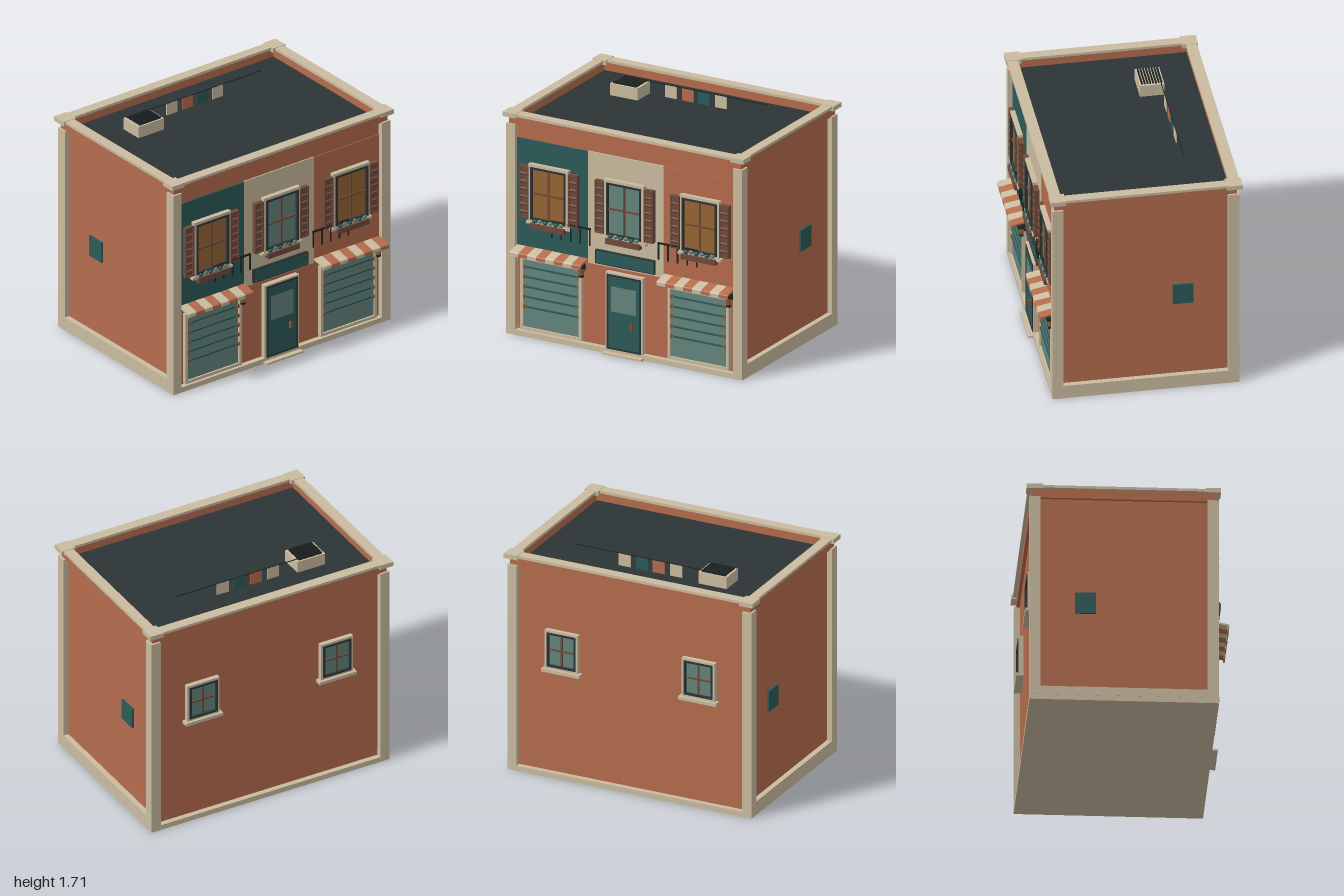
import * as THREE from 'three';

const M = {};
for (const [name, color] of Object.entries({
  terracotta: 0xb56c4d, cream: 0xcbbca0, teal: 0x2b5b58, glass: 0x64847c, amber: 0x966533,
  brown: 0x704a3b, charcoal: 0x2c3435, black: 0x1c2222, rust: 0x8f5430,
})) {
  M[name] = new THREE.MeshStandardMaterial({ color });
  M[name].name = name;
}

const ZC = -0.03;     // centre of the building's depth
const WALL_X = 0.94;  // half width of the wall block
const FRONT = 0.61;   // front wall plane
const BACK = -0.67;   // back wall plane

// Box from its limits
function box(parent, name, mat, x0, x1, y0, y1, z0, z1) {
  const mesh = new THREE.Mesh(new THREE.BoxGeometry(x1 - x0, y1 - y0, z1 - z0), M[mat]);
  mesh.position.set((x0 + x1) / 2, (y0 + y1) / 2, (z0 + z1) / 2);
  mesh.name = name;
  parent.add(mesh);
  return mesh;
}

function group(parent, name, x = 0, y = 0, z = 0) {
  const g = new THREE.Group();
  g.name = name;
  g.position.set(x, y, z);
  parent.add(g);
  return g;
}

function rect(path, x, y) {
  path.moveTo(-x, -y);
  path.lineTo(x, -y);
  path.lineTo(x, y);
  path.lineTo(-x, y);
  path.closePath();
  return path;
}

// Rectangular frame, extruded along z from 0 to depth
function frame(parent, name, mat, w, h, bar, depth) {
  const shape = rect(new THREE.Shape(), w / 2, h / 2);
  shape.holes.push(rect(new THREE.Path(), w / 2 - bar, h / 2 - bar));
  const mesh = new THREE.Mesh(new THREE.ExtrudeGeometry(shape, { depth, bevelEnabled: false }), M[mat]);
  mesh.name = name;
  parent.add(mesh);
  return mesh;
}

// Horizontal ring around the roof
function roofRing(parent, name, mat, hx, hz, ix, iz, y0, y1) {
  const shape = rect(new THREE.Shape(), hx, hz);
  shape.holes.push(rect(new THREE.Path(), ix, iz));
  const mesh = new THREE.Mesh(new THREE.ExtrudeGeometry(shape, { depth: y1 - y0, bevelEnabled: false }), M[mat]);
  mesh.rotation.x = -Math.PI / 2;
  mesh.position.set(0, y0, ZC);
  mesh.name = name;
  parent.add(mesh);
}

// Four-pane window centred on its own origin, facing +z
function paneWindow(parent, name, w, h, glassMat) {
  const g = group(parent, name);
  frame(g, 'outerFrame', 'cream', w, h, 0.02, 0.035);
  frame(g, 'innerFrame', 'charcoal', w - 0.035, h - 0.035, 0.014, 0.042);
  box(g, 'glass', glassMat, -w / 2 + 0.02, w / 2 - 0.02, -h / 2 + 0.02, h / 2 - 0.02, 0, 0.022);
  box(g, 'mullion', 'brown', -0.006, 0.006, -h / 2 + 0.03, h / 2 - 0.03, 0.02, 0.032);
  box(g, 'crossbar', 'brown', -w / 2 + 0.03, w / 2 - 0.03, -0.006, 0.006, 0.02, 0.032);
  return g;
}

function frontWindow(parent, x, glassMat) {
  const g = group(parent, 'frontWindow', x, 1.108, FRONT + 0.008);
  paneWindow(g, 'window', 0.325, 0.435, glassMat);
  box(g, 'lintel', 'cream', -0.165, 0.165, 0.205, 0.222, 0, 0.037);
  box(g, 'sill', 'cream', -0.18, 0.18, -0.235, -0.215, 0, 0.04);
  // Louvred shutters
  for (const s of [-1, 1]) {
    const sh = group(g, 'shutter', s * 0.204, 0, 0);
    box(sh, 'shutterBoard', 'brown', -0.038, 0.038, -0.2, 0.2, 0, 0.028);
    frame(sh, 'shutterFrame', 'brown', 0.076, 0.4, 0.01, 0.037);
    for (let i = 0; i < 6; i++) {
      const slat = box(sh, 'slat', 'brown', -0.03, 0.03, -0.006, 0.006, 0.026, 0.04);
      slat.position.y = 0.14 - i * 0.058;
      slat.rotation.x = 0.6;
    }
  }
  // Planter with small bushes
  box(g, 'planter', 'brown', -0.142, 0.142, -0.263, -0.222, 0.02, 0.058);
  for (let i = 0; i < 6; i++) {
    const bush = new THREE.Mesh(new THREE.IcosahedronGeometry(0.018, 1), M[i % 2 ? 'glass' : 'teal']);
    bush.position.set(-0.11 + i * 0.044, -0.207 + (i % 2) * 0.005, 0.04);
    bush.scale.set(1.15, 0.85, 0.8);
    bush.name = 'bush';
    g.add(bush);
  }
}

function awning(parent, x0) {
  const g = group(parent, 'awning');
  const w = 0.59 / 8;
  const profile = new THREE.Shape([[0.61, 0.685], [0.722, 0.662], [0.73, 0.655], [0.73, 0.63],
    [0.72, 0.63], [0.72, 0.65], [0.61, 0.672]].map(([z, y]) => new THREE.Vector2(-z, y)));
  for (let i = 0; i < 8; i++) {
    const geo = new THREE.ExtrudeGeometry(profile, { depth: w, bevelEnabled: false });
    geo.rotateY(Math.PI / 2); // profile x becomes -z, depth becomes +x
    const stripe = new THREE.Mesh(geo, M[i % 2 ? 'terracotta' : 'cream']);
    stripe.position.x = x0 + i * w;
    stripe.name = 'awningStripe';
    g.add(stripe);
  }
}

function rollerDoor(parent, x) {
  const g = group(parent, 'rollerDoor', x, 0.33, FRONT);
  frame(g, 'rollerFrame', 'cream', 0.507, 0.56, 0.022, 0.034);
  box(g, 'rollerPanel', 'glass', -0.235, 0.235, -0.26, 0.26, 0, 0.02);
  for (let i = 0; i < 5; i++) {
    const y = 0.2 - i * 0.076;
    box(g, 'rib', 'teal', -0.23, 0.23, y - 0.006, y + 0.006, 0.015, 0.03);
    for (const s of [-1, 1]) {
      box(g, 'bolt', 'rust', s * 0.225 - 0.006, s * 0.225 + 0.006, y - 0.014, y + 0.014, 0.018, 0.034);
      box(g, 'bolt', 'rust', s * 0.21 - 0.01, s * 0.21 + 0.01, y - 0.005, y + 0.005, 0.018, 0.034);
    }
  }
}

function lamp(parent, x) {
  const g = group(parent, 'wallLamp', x, 0.585, 0.65);
  box(g, 'lampBracket', 'black', -0.012, 0.012, 0.0, 0.05, -0.04, -0.015);
  box(g, 'lampCap', 'black', -0.025, 0.025, 0.028, 0.04, -0.025, 0.026);
  const body = new THREE.Mesh(new THREE.CylinderGeometry(0.026, 0.018, 0.055, 4), M.amber);
  body.rotation.y = Math.PI / 4;
  body.name = 'lampGlass';
  g.add(body);
  box(g, 'lampBase', 'black', -0.015, 0.015, -0.042, -0.027, -0.015, 0.015);
}

function railing(parent, s) {
  const g = group(parent, 'railing');
  const span = (a, b) => (s > 0 ? [a, b] : [-b, -a]);
  box(g, 'handrail', 'black', ...span(0.28, 0.61), 0.915, 0.927, 0.64, 0.652);
  for (let i = 0; i < 5; i++) {
    const x = 0.286 + i * 0.079;
    box(g, 'baluster', 'black', ...span(x - 0.005, x + 0.005), 0.795, 0.92, 0.641, 0.651);
  }
}

export function createModel() {
  const model = new THREE.Group();
  model.name = 'townhouse';

  // Base, walls, corner posts
  box(model, 'base', 'cream', -0.98, 0.98, 0, 0.04, -0.71, 0.65);
  box(model, 'walls', 'terracotta', -WALL_X, WALL_X, 0.04, 1.6, BACK, FRONT);
  for (const s of [-1, 1]) {
    const side = (name, mat, a, b, ...rest) => box(model, name, mat, ...(s > 0 ? [a, b] : [-b, -a]), ...rest);
    side('sidePlinth', 'cream', 0.9, 0.981, 0.04, 0.105, -0.67, 0.61);
    side('frontPost', 'cream', 0.905, 0.98, 0.04, 1.605, 0.57, 0.65);
    side('backPost', 'cream', 0.905, 0.98, 0.04, 1.605, -0.71, -0.63);
    side('cornerCap', 'cream', 0.89, 1.0, 1.658, 1.693, 0.555, 0.665);
    side('cornerCap', 'cream', 0.89, 1.0, 1.658, 1.693, -0.73, -0.615);
    side('utilityHatch', 'teal', 0.93, 0.955, 0.7, 0.862, -0.38, -0.23);
  }

  // Parapet and roof
  roofRing(model, 'parapet', 'terracotta', 0.965, 0.665, 0.92, 0.62, 1.6, 1.672);
  roofRing(model, 'coping', 'cream', 0.986, 0.69, 0.91, 0.61, 1.67, 1.69);
  box(model, 'roof', 'charcoal', -0.925, 0.925, 1.59, 1.606, -0.655, 0.595);

  // Painted upper facade
  box(model, 'tealFacade', 'teal', -0.905, -0.318, 0.67, 1.5, FRONT, FRONT + 0.009);
  box(model, 'creamFacade', 'cream', -0.318, 0.312, 0.65, 1.505, FRONT, FRONT + 0.009);
  box(model, 'terracottaFacade', 'terracotta', 0.312, 0.905, 0.67, 1.5, FRONT, FRONT + 0.006);

  // Front windows, ground floor shutters, awnings, lamps, railings
  [[-0.628, 'amber'], [0, 'glass'], [0.628, 'amber']].forEach(([x, mat]) => frontWindow(model, x, mat));
  for (const s of [-1, 1]) {
    rollerDoor(model, s * 0.611);
    railing(model, s);
  }
  awning(model, -0.905);
  awning(model, 0.315);
  lamp(model, -0.355);
  lamp(model, 0.87);

  // Blank sign board
  const sign = group(model, 'signBoard', 0, 0.72, FRONT);
  box(sign, 'signPanel', 'teal', -0.24, 0.24, -0.046, 0.046, 0, 0.03);
  frame(sign, 'signEdge', 'charcoal', 0.49, 0.104, 0.006, 0.032);
  for (const sx of [-1, 1]) for (const sy of [-1, 1]) {
    box(sign, 'signBolt', 'rust', sx * 0.225 - 0.004, sx * 0.225 + 0.004, sy * 0.036 - 0.004, sy * 0.036 + 0.004, 0.028, 0.034);
  }

  // Entrance door
  const door = group(model, 'entrance', 0, 0.325, FRONT);
  frame(door, 'doorFrame', 'cream', 0.31, 0.595, 0.018, 0.04);
  frame(door, 'doorJamb', 'charcoal', 0.28, 0.57, 0.014, 0.045);
  box(door, 'doorLeaf', 'teal', -0.128, 0.128, -0.285, 0.275, 0, 0.042);
  box(door, 'doorGlass', 'glass', -0.102, 0.102, 0.005, 0.195, 0.04, 0.046);
  box(door, 'doorHandle', 'rust', 0.064, 0.076, -0.105, -0.055, 0.04, 0.065);
  box(model, 'threshold', 'cream', -0.165, 0.165, 0.004, 0.018, 0.6, 0.69);

  // Back windows
  for (const x of [-0.55, 0.55]) {
    const g = group(model, 'backWindow', x, 1.0, BACK);
    g.rotation.y = Math.PI;
    paneWindow(g, 'window', 0.265, 0.3, 'glass');
    box(g, 'sill', 'cream', -0.152, 0.152, -0.175, -0.15, 0, 0.055);
  }

  // Roof vent
  box(model, 'roofVent', 'cream', -0.625, -0.397, 1.6, 1.697, -0.4, -0.222);
  for (let i = 0; i < 8; i++) {
    const z = -0.382 + i * 0.0203;
    box(model, 'ventSlat', 'black', -0.607, -0.415, 1.695, 1.71, z - 0.0055, z + 0.0055);
  }

  // Washing line
  box(model, 'washingLine', 'black', -0.6, 0.595, 1.704, 1.709, -0.378, -0.373);
  [[-0.208, 'cream'], [-0.068, 'terracotta'], [0.066, 'teal'], [0.205, 'cream']].forEach(([x, mat]) =>
    box(model, 'laundry', mat, x - 0.048, x + 0.048, 1.612, 1.705, -0.379, -0.372));

  return model;
}
